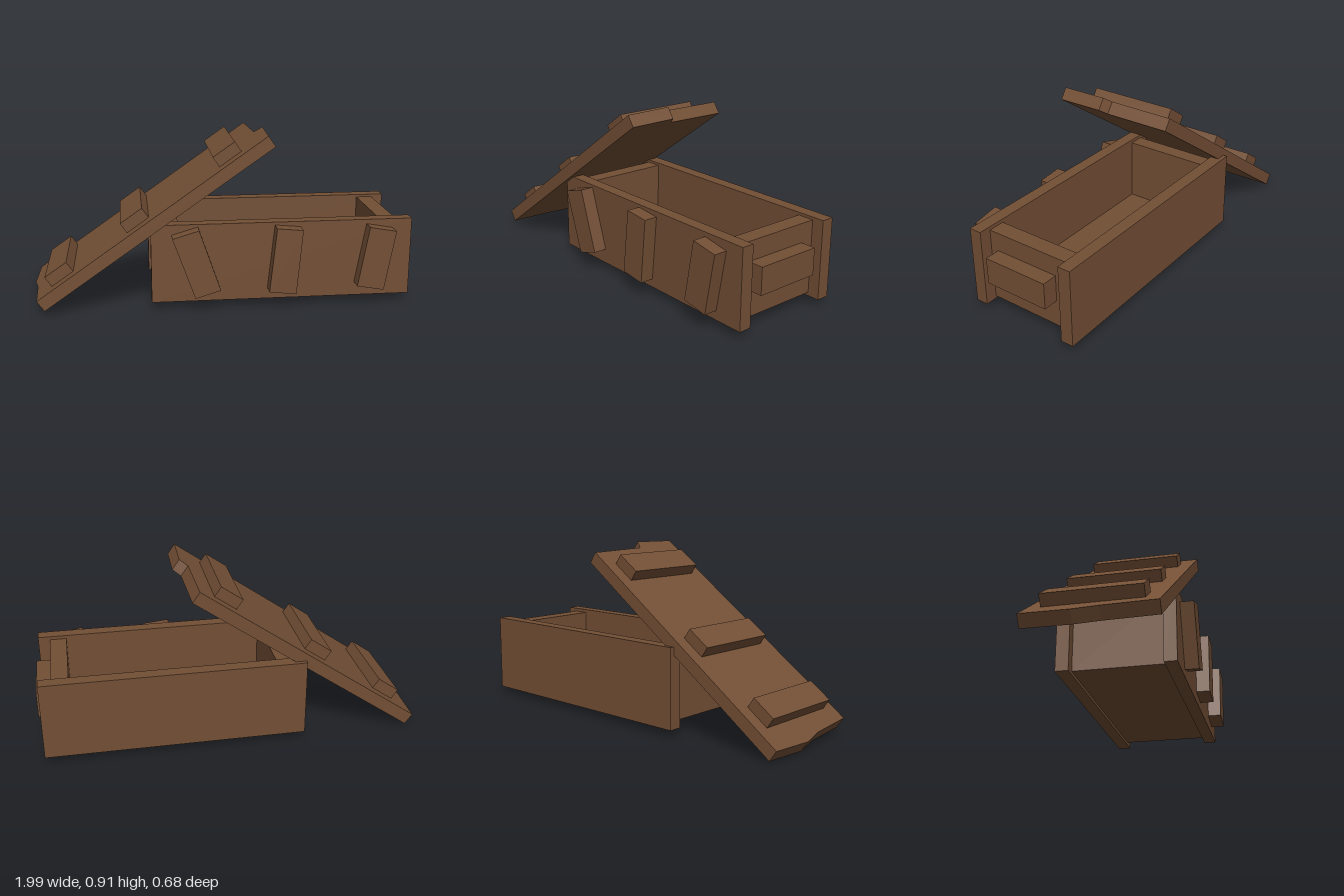
import * as THREE from 'three';

export function createModel() {
  const wood = new THREE.MeshStandardMaterial({ color: 0x734f35 });
  wood.name = 'brown wood';
  const crate = new THREE.Group();
  crate.name = 'openCrate';

  function add(parent, name, geometry) {
    const mesh = new THREE.Mesh(geometry, wood);
    mesh.name = name;
    parent.add(mesh);
    return mesh;
  }

  // Box given by its extents along each axis
  function board(parent, name, [x0, x1], [y0, y1], [z0, z1]) {
    const g = new THREE.BoxGeometry(x1 - x0, y1 - y0, z1 - z0);
    g.translate((x0 + x1) / 2, (y0 + y1) / 2, (z0 + z1) / 2);
    return add(parent, name, g);
  }

  // Flat outline given thickness along +z
  function plate(points, depth) {
    const shape = new THREE.Shape(points.map(([x, y]) => new THREE.Vector2(x, y)));
    return new THREE.ExtrudeGeometry(shape, { depth, bevelEnabled: false });
  }

  // Long sides, short ends set between them, and the floor
  board(crate, 'frontPanel', [-0.38, 0.975], [0.042, 0.453], [0.198, 0.264]);
  board(crate, 'backPanel', [-0.38, 0.975], [0.037, 0.449], [-0.34, -0.272]);
  board(crate, 'leftEnd', [-0.32, -0.235], [0.055, 0.435], [-0.275, 0.2]);
  board(crate, 'rightEnd', [0.825, 0.912], [0.055, 0.435], [-0.275, 0.2]);
  board(crate, 'floor', [-0.3, 0.9], [0.055, 0.1], [-0.275, 0.2]);

  // Grip block on the right end
  board(crate, 'handle', [0.9, 0.993], [0.196, 0.336], [-0.2, 0.155]);

  // Crooked cleats nailed to the front
  const cleats = [
    [[-0.275, 0.40], [-0.14, 0.44], [-0.03, 0.12], [-0.16, 0.08]],
    [[0.255, 0.438], [0.39, 0.425], [0.36, 0.085], [0.22, 0.10]],
    [[0.735, 0.43], [0.875, 0.405], [0.82, 0.09], [0.68, 0.115]],
  ];
  for (const corners of cleats) {
    add(crate, 'frontCleat', plate(corners, 0.08)).position.z = 0.256;
  }

  // Lid tilted against the left edge, its top surface at local y = 0
  const lid = new THREE.Group();
  lid.name = 'lid';
  lid.position.set(-1, 0.055, 0);
  lid.rotation.z = 0.611;
  crate.add(lid);

  // Lid outline with a broken step at the upper end
  const outline = [
    [0.012, -0.318], [0, -0.08], [0.028, 0.04], [0.048, 0.293],
    [1.478, 0.293], [1.487, 0.045], [1.436, 0.022], [1.426, -0.318],
  ].map(([u, z]) => [u, -z]);
  const slab = plate(outline, 0.066);
  slab.rotateX(-Math.PI / 2);
  slab.translate(0, -0.066, 0);
  add(lid, 'lidBoard', slab);

  for (const u of [0.137, 0.613, 1.19]) {
    board(lid, 'lidCleat', [u, u + 0.136], [-0.01, 0.06], [-0.25, 0.218]);
  }

  return crate;
}
